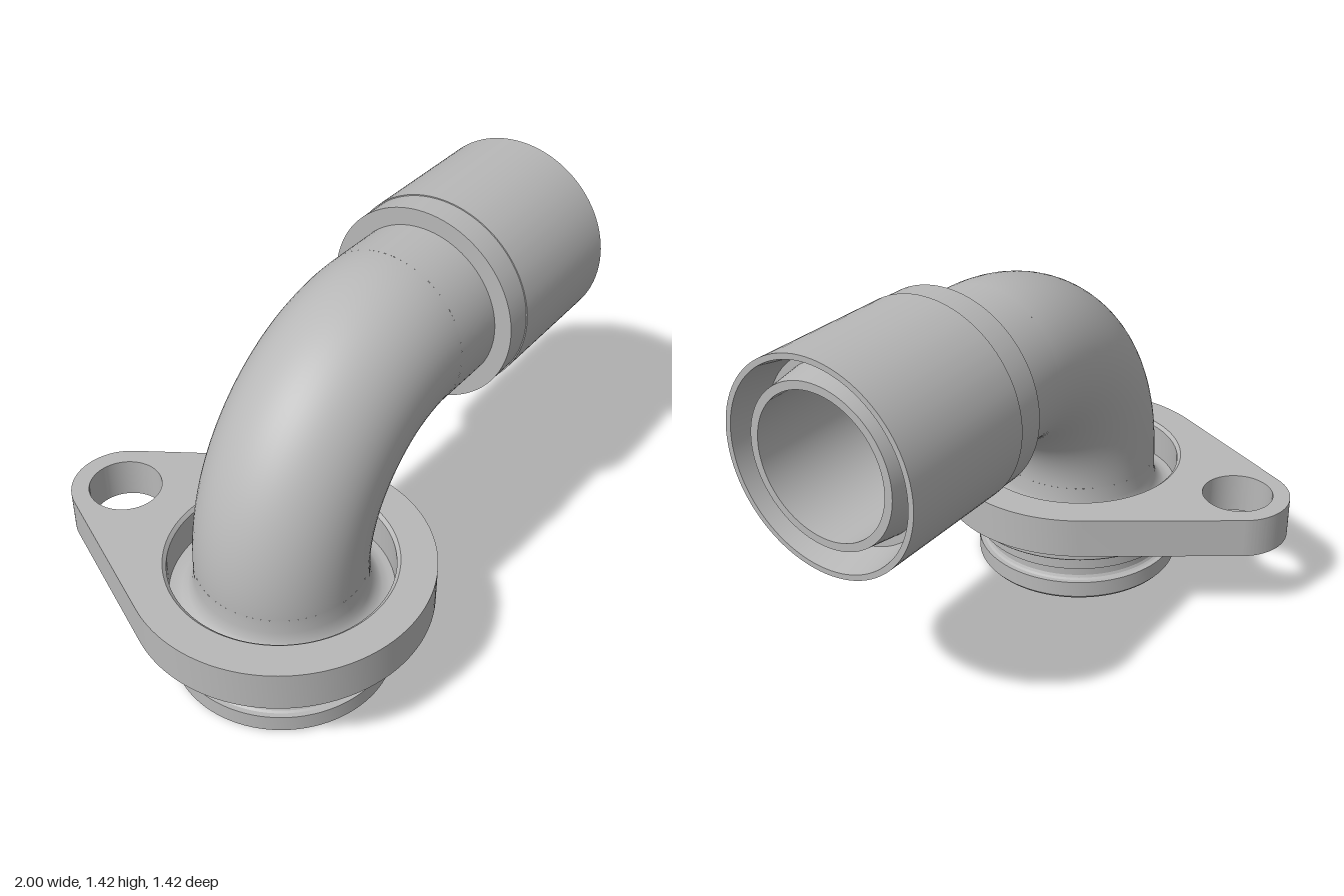
import * as THREE from 'three';
import { toCreasedNormals } from 'three/addons/utils/BufferGeometryUtils.js';

const AXIS_X = -0.463, AXIS_Z = 0.17; // vertical inlet axis
const AXIS_Y = 1.045;                 // horizontal outlet axis
const BEND = 0.603, OUTER = 0.305, BORE = 0.253;
const FLANGE_TOP = 0.442;

const grey = new THREE.MeshStandardMaterial({ color: 0xb8b8b8 });
grey.name = 'grey metal';

function part(name, geometry, x, y, z) {
  const mesh = new THREE.Mesh(geometry, grey);
  mesh.name = name;
  mesh.position.set(x, y, z);
  return mesh;
}

// Turned part from [radius, height] points, with sharp edges kept
function turned(points) {
  const profile = points.map(([r, h]) => new THREE.Vector2(r, h));
  return toCreasedNormals(new THREE.LatheGeometry(profile, 96), 0.45);
}

// Quarter bend; inward = true makes the visible side the inside
function quarterBend(radius, inward) {
  const g = new THREE.TorusGeometry(BEND, radius, 64, 48, Math.PI / 2);
  g.rotateZ(Math.PI / 2);
  if (inward) {
    const index = g.index;
    for (let i = 0; i < index.count; i += 3) {
      const a = index.getX(i);
      index.setX(i, index.getX(i + 1));
      index.setX(i + 1, a);
    }
    const n = g.attributes.normal;
    for (let i = 0; i < n.count; i++) n.setXYZ(i, -n.getX(i), -n.getY(i), -n.getZ(i));
  }
  return g;
}

// Teardrop plate: large disc and small ear joined by their outer tangents
function flangePlate() {
  const main = { x: AXIS_X, y: AXIS_Z, r: 0.537 };
  const ear = { x: -0.515, y: -0.515, r: 0.197 };
  const dx = ear.x - main.x, dy = ear.y - main.y;
  const toEar = Math.atan2(dy, dx);
  const spread = Math.acos((main.r - ear.r) / Math.hypot(dx, dy));
  const shape = new THREE.Shape();
  shape.absarc(main.x, main.y, main.r, toEar + spread, toEar - spread + Math.PI * 2, false);
  shape.absarc(ear.x, ear.y, ear.r, toEar - spread, toEar + spread, false);
  for (const [c, r] of [[main, 0.41], [ear, 0.133]]) {
    const hole = new THREE.Path();
    hole.absarc(c.x, c.y, r, 0, Math.PI * 2, true);
    shape.holes.push(hole);
  }
  const g = new THREE.ExtrudeGeometry(shape, { depth: 0.155, bevelEnabled: false, curveSegments: 48 });
  g.rotateX(Math.PI / 2);
  return toCreasedNormals(g, 0.45);
}

export function createModel() {
  const model = new THREE.Group();
  model.name = 'flanged elbow pipe';

  // Spigot with seal groove, collar, recess inside the flange and flared pipe foot
  model.add(part('spigot', turned([
    [0.385, 0], [0.393, 0], [0.403, 0.012], [0.403, 0.077],
    [0.385, 0.077], [0.377, 0.082], [0.372, 0.092], [0.372, 0.126], [0.377, 0.136], [0.385, 0.141],
    [0.403, 0.141], [0.403, 0.217], [0.457, 0.217], [0.463, 0.223], [0.463, 0.285],
    [0.41, FLANGE_TOP], [0.397, 0.43], [0.397, 0.3],
    [0.375, 0.3], [0.35, 0.306], [0.328, 0.322], [0.313, 0.348], [0.306, 0.385], [OUTER, FLANGE_TOP],
  ]), AXIS_X, 0, AXIS_Z));

  // Bore widening smoothly toward the bottom opening
  const funnel = [];
  for (let i = 0; i <= 12; i++) {
    const t = i / 12;
    funnel.push([BORE + (0.385 - BORE) * t * t * (1.6 - 0.6 * t), FLANGE_TOP * (1 - t)]);
  }
  model.add(part('spigotBore', turned(funnel), AXIS_X, 0, AXIS_Z));

  model.add(part('flange', flangePlate(), 0, FLANGE_TOP, 0));

  // Elbow, outside and inside
  const bendX = AXIS_X + BEND;
  model.add(part('elbow', quarterBend(OUTER, false), bendX, FLANGE_TOP, AXIS_Z));
  model.add(part('elbowBore', quarterBend(BORE, true), bendX, FLANGE_TOP, AXIS_Z));

  // Straight outlet with its sleeve, tapered ring groove and inner tube
  const outlet = turned([
    [OUTER, bendX], [OUTER, 0.352], [0.369, 0.352], [0.369, 0.455], [0.373, 0.455], [0.373, 1],
    [0.353, 1], [0.327, 0.86], [0.301, 0.86], [0.282, 0.985], [BORE, 0.985], [BORE, bendX],
  ]);
  outlet.rotateZ(-Math.PI / 2);
  model.add(part('outletSleeve', outlet, 0, AXIS_Y, AXIS_Z));

  return model;
}
